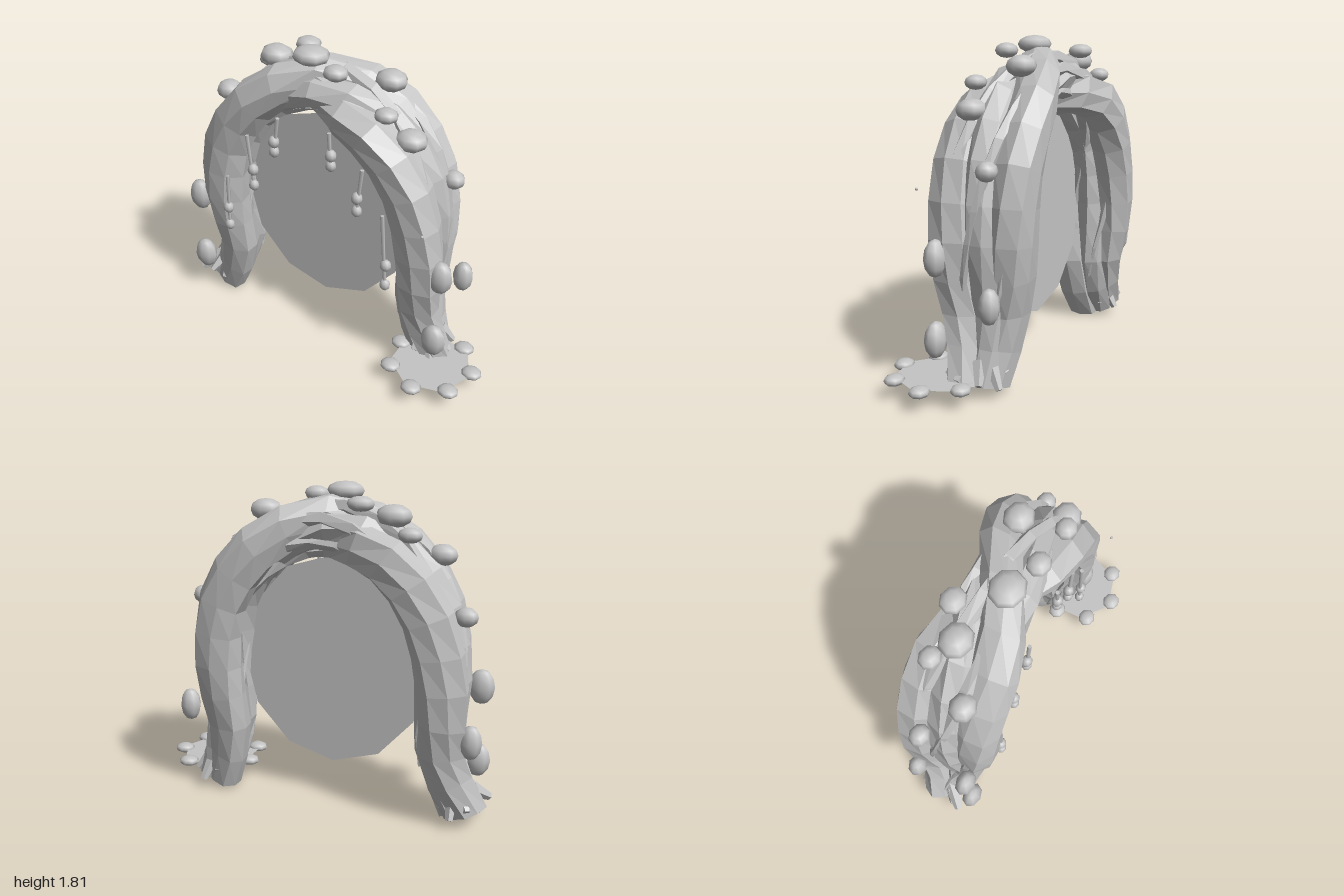
import * as THREE from 'three';

const V = (x, y, z = 0) => new THREE.Vector3(x, y, z);

// Centre line of the arch, from the -x foot over the top to the +x foot
const spine = new THREE.CatmullRomCurve3([
  V(-0.85, 0.06), V(-0.72, 0.36), V(-0.725, 0.8), V(-0.655, 1.17), V(-0.44, 1.46), V(-0.1, 1.58),
  V(0.26, 1.46), V(0.485, 1.17), V(0.55, 0.8), V(0.535, 0.36), V(0.62, 0.05),
]);
const Z = -0.09;

// Tapered limb with closed ends, following the spine at offset(t) = [outward, z]
function limb({ offset, radius, sides, from = 0, to = 1, steps = 20, ridge = 0.08, twist = 0 }) {
  const pos = [], idx = [];
  const rows = steps + 3;
  for (let i = 0; i < rows; i++) {
    const k = Math.min(Math.max(i - 1, 0), steps) / steps;
    const t = from + (to - from) * k;
    const p = spine.getPointAt(t), d = spine.getTangentAt(t);
    const n = V(-d.y, d.x);
    const [out, z] = offset(t);
    const c = p.addScaledVector(n, out).add(V(0, 0, Z + z));
    const r = i === 0 || i === rows - 1 ? 0 : radius(t, k);
    for (let j = 0; j < sides; j++) {
      const a = (j / sides) * Math.PI * 2 + twist * t;
      const rr = r * (1 + ridge * Math.sin(j * 2.4 + 1));
      const q = c.clone().addScaledVector(n, rr * Math.cos(a)).add(V(0, 0, rr * Math.sin(a)));
      pos.push(q.x, q.y, q.z);
    }
  }
  for (let i = 0; i < rows - 1; i++) {
    for (let j = 0; j < sides; j++) {
      const a = i * sides + j, b = i * sides + (j + 1) % sides;
      idx.push(a, b, a + sides, b, b + sides, a + sides);
    }
  }
  const g = new THREE.BufferGeometry();
  g.setAttribute('position', new THREE.Float32BufferAttribute(pos, 3));
  g.setIndex(idx);
  g.computeVertexNormals();
  return g;
}

export function createModel() {
  const root = new THREE.Group();
  const bark = new THREE.MeshStandardMaterial({ color: 0xc2c2c2, flatShading: true });
  bark.name = 'barkGrey';
  const leaf = new THREE.MeshStandardMaterial({ color: 0xc3c3c3 });
  leaf.name = 'leafGrey';
  const veil = new THREE.MeshStandardMaterial({ color: 0xc4c4c4, side: THREE.DoubleSide });
  veil.name = 'veilGrey';

  const add = (name, geo, mat, p = V(0, 0, 0), s) => {
    const m = new THREE.Mesh(geo, mat);
    m.name = name;
    m.position.copy(p);
    if (s) m.scale.set(...s);
    root.add(m);
    return m;
  };
  const rod = (name, a, b, r0, r1, mat) => {
    const d = b.clone().sub(a);
    const m = add(name, new THREE.CylinderGeometry(r1, r0, d.length(), 5), mat, a.clone().add(b).multiplyScalar(0.5));
    m.quaternion.setFromUnitVectors(V(0, 1, 0), d.normalize());
  };

  // Rope of trunks: a quick quarter turn at the top, then a slow turn down each leg
  const end = (t) => Math.min(t, 1 - t);
  const spread = (t) => Math.min(1, 0.55 + 3 * end(t));
  const apex = (t) => Math.exp(-(((t - 0.5) / 0.1) ** 2));
  const wind = (phase, o, z) => (t) => {
    const swing = Math.sin((Math.PI / 2) * THREE.MathUtils.clamp(2 * Math.cos(Math.PI * t), -1, 1));
    const a = (Math.PI / 2 + (Math.PI / 3) * Math.max(0, 1 - end(t) / 0.34)) * swing + phase;
    return [o * Math.cos(a), z * Math.sin(a) * spread(t) + 0.025 * apex(t)];
  };
  const thick = (t) => 0.1 + 0.037 * Math.min(1, 5 * end(t)) - 0.017 * apex(t);
  add('overTrunk', limb({ offset: wind(0, 0.06, 0.16), radius: thick, sides: 8, twist: 2 }), bark);
  add('underTrunk', limb({ offset: wind(Math.PI, 0.06, 0.16), radius: thick, sides: 8, twist: -2 }), bark);
  for (const s of [-1, 1]) {
    const offset = wind(s * Math.PI / 2, 0.045, 0.095);
    add('sideTrunk', limb({ offset, radius: (t) => thick(t) * 0.75, sides: 7, twist: 3 * s }), bark);
  }

  // Thin creepers wound round the trunks
  for (let i = 0; i < 6; i++) {
    const offset = (t) => {
      const a = i * 1.05 + 4 * t;
      return [0.115 * Math.cos(a), 0.21 * Math.sin(a) * spread(t) * (1 - 0.4 * apex(t))];
    };
    const radius = (t, k) => 0.01 + 0.033 * Math.sin(Math.PI * k);
    add('creeper', limb({ offset, radius, sides: 5, from: 0.02 + 0.02 * i, to: 0.86 + 0.022 * i, twist: 4 }), bark);
  }

  // Root stubs round both feet, with one longer toe pointing outward
  for (const [fx, side, tz] of [[-0.83, -1, 0.04], [0.6, 1, -0.05]]) {
    for (let i = 0; i < 8; i++) {
      const a = (i / 8) * Math.PI * 2 + 0.3;
      const c = Math.cos(a), s = Math.sin(a);
      rod('root', V(fx + 0.06 * c, 0.19, Z + 0.08 * s), V(fx + 0.02 * side + 0.12 * c, 0.06 + 0.03 * (i % 3), Z + 0.16 * s), 0.04, 0.02, bark);
    }
    rod('toeRoot', V(fx + 0.02 * side, 0.2, Z + 0.02), V(fx + 0.15 * side, 0.1, tz), 0.06, 0.022, bark);
  }

  // Leaf clumps: x, y, z, width, height
  const ball = new THREE.SphereGeometry(1, 8, 6);
  for (const [x, y, z, w, h] of [
    [-0.14, 1.76, -0.01, 0.105, 0.05], [-0.44, 1.655, -0.13, 0.098, 0.06], [0.26, 1.66, -0.15, 0.09, 0.058],
    [-0.29, 1.72, -0.22, 0.075, 0.04], [0.05, 1.73, 0.06, 0.07, 0.042], [0.35, 1.575, 0.07, 0.065, 0.04],
    [0.47, 1.445, 0.02, 0.09, 0.058], [-0.67, 1.445, 0.01, 0.08, 0.058], [-0.55, 1.575, -0.22, 0.065, 0.04],
    [-0.84, 1.17, -0.17, 0.063, 0.052], [0.64, 1.17, -0.17, 0.063, 0.052],
  ]) add('topLeafClump', ball, leaf, V(x, y, z), [w, h, w * 0.9]);
  for (const side of [-1, 1]) {
    for (const [x, y, z, w, h] of [[0.805, 0.72, 0.09, 0.073, 0.1], [0.815, 0.52, -0.23, 0.06, 0.095], [0.8, 0.285, 0.1, 0.074, 0.1]]) {
      add('sideLeafClump', ball, leaf, V(-0.09 + side * x, y, z), [w, h, 0.055]);
    }
  }

  // Hanging stems with two beads: top x, top y, bead x, upper bead y, lower bead y, z
  for (const [tx, ty, x, y1, y2, z] of [
    [-0.25, 1.44, -0.28, 1.29, 1.23, 0.16], [0.07, 1.44, 0.08, 1.31, 1.25, 0.16],
    [-0.46, 1.28, -0.43, 1.07, 0.97, 0.16], [0.27, 1.28, 0.24, 1.1, 1.02, 0.16],
    [-0.61, 0.98, -0.62, 0.76, 0.64, 0.17], [0.4, 1.05, 0.43, 0.74, 0.61, 0.17],
  ]) {
    rod('hangingStem', V(tx, ty, z), V(x, y2, z), 0.012, 0.009, leaf);
    add('upperBead', ball, leaf, V(x, y1, z), [0.033, 0.036, 0.03]);
    add('lowerBead', ball, leaf, V(x, y2, z), [0.031, 0.034, 0.027]);
  }

  // Flat veil filling the opening
  add('veil', new THREE.CircleGeometry(1, 12), veil, V(-0.09, 0.82, -0.06), [0.54, 0.6, 1]);

  // Ground patch with a ring of pebbles at the +x foot
  const patch = add('groundPatch', new THREE.CircleGeometry(0.235, 7), veil, V(0.705, 0.1, 0.085));
  patch.rotation.x = -Math.PI / 2;
  for (let i = 0; i < 7; i++) {
    const a = (i / 7) * Math.PI * 2 - 0.17;
    add('pebble', ball, leaf, V(0.705 + 0.235 * Math.cos(a), 0.1, 0.085 + 0.235 * Math.sin(a)), [0.06, 0.029, 0.053]);
  }
  add('mote', ball, leaf, V(0.66, 1.05, 0.235), [0.008, 0.008, 0.008]);
  return root;
}
